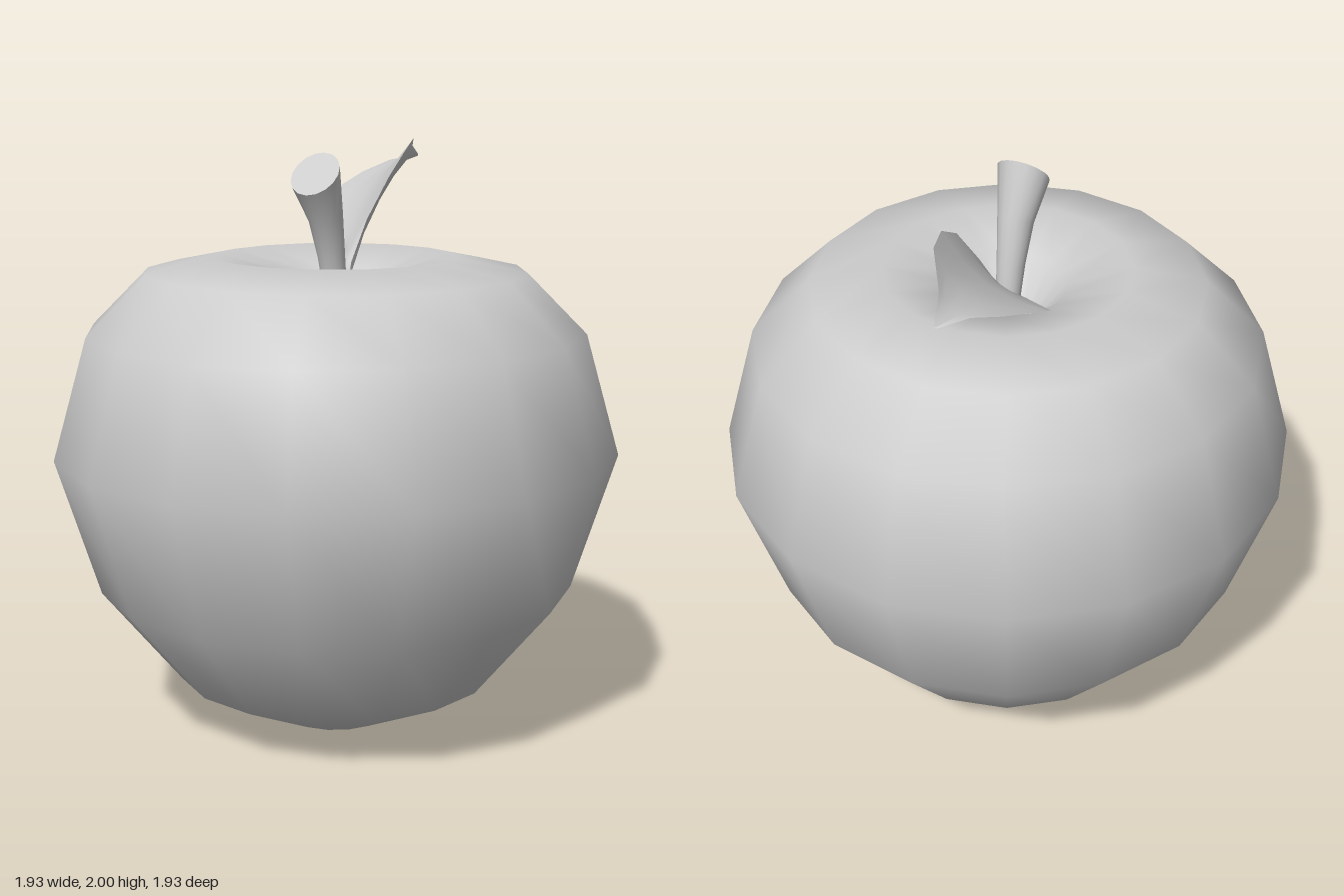
import * as THREE from 'three';
import { toCreasedNormals } from 'three/addons/utils/BufferGeometryUtils.js';

// Skin a list of rings (each counter-clockwise about the loft direction) and cap both ends
function loft(rings, crease) {
  const n = rings[0].length, index = [];
  const points = rings.flat();
  for (let i = 0; i < rings.length - 1; i++) {
    for (let j = 0; j < n; j++) {
      const a = i * n + j, b = i * n + (j + 1) % n;
      index.push(a, b, b + n, a, b + n, a + n);
    }
  }
  const last = (rings.length - 1) * n;
  for (let j = 1; j < n - 1; j++) {
    index.push(0, j + 1, j, last, last + j, last + j + 1);
  }
  const geometry = new THREE.BufferGeometry().setFromPoints(points);
  geometry.setIndex(index);
  return toCreasedNormals(geometry, crease);
}

export function createModel() {
  const group = new THREE.Group();
  const material = new THREE.MeshStandardMaterial({ color: 0xcccccc });
  const add = (name, geometry) => {
    const mesh = new THREE.Mesh(geometry, material);
    mesh.name = name;
    group.add(mesh);
  };

  // Fruit body with a dimple at the base and a deeper one at the top
  const profile = [
    [0, 0.06], [0.19, 0], [0.55, 0.17], [0.82, 0.5], [0.967, 0.97], [0.85, 1.38],
    [0.65, 1.58], [0.41, 1.63], [0.2, 1.57], [0.08, 1.42], [0, 1.38],
  ].map(([r, y]) => new THREE.Vector2(r, y));
  add('fruit', new THREE.LatheGeometry(profile, 16));

  // Stem that flares and leans forward to a slanted cut: y, z, radius, tilt
  const stemRings = [
    [1.36, -0.01, 0.04, 0], [1.5, 0.0, 0.04, 0.05], [1.63, 0.027, 0.047, 0.15],
    [1.77, 0.065, 0.06, 0.45], [1.91, 0.13, 0.088, 0.86],
  ].map(([y, z, r, tilt]) => Array.from({ length: 16 }, (_, i) => {
    const t = i / 16 * Math.PI * 2;
    return new THREE.Vector3(r * Math.sin(t), y - r * Math.cos(t) * Math.sin(tilt),
      z + r * Math.cos(t) * Math.cos(tilt));
  }));
  add('stem', loft(stemRings, 0.8));

  // Leaf: right and left rims, with depths of the cupped upper face and the belly
  const leafRings = [
    [[-0.02, 1.42, -0.02], [0.02, 1.42, -0.02], -0.015, 0.015],
    [[-0.03, 1.58, -0.09], [0.015, 1.6, -0.08], -0.015, 0.03],
    [[-0.135, 1.65, -0.18], [0.03, 1.74, -0.16], 0.02, 0.05],
    [[-0.275, 1.72, -0.32], [0.06, 1.88, -0.26], 0.04, 0.075],
    [[-0.305, 1.79, -0.43], [0.05, 1.96, -0.39], 0.045, 0.08],
    [[-0.25, 1.87, -0.62], [0, 2.0, -0.55], 0.035, 0.065],
    [[-0.19, 1.91, -0.72], [-0.09, 1.965, -0.71], 0.015, 0.035],
    [[-0.135, 1.922, -0.82], [-0.125, 1.928, -0.82], 0, 0.005],
  ].map(([l, r, cup, belly]) => {
    const left = new THREE.Vector3(...l), right = new THREE.Vector3(...r);
    const along = new THREE.Vector3(0, 0.5, -0.85);
    const down = right.clone().sub(left).cross(along).normalize().negate();
    const at = (t, depth) => left.clone().lerp(right, t).addScaledVector(down, depth);
    return [left, at(0.25, cup * 0.7), at(0.5, cup), at(0.75, cup * 0.7),
      right, at(0.75, belly * 0.75), at(0.5, belly), at(0.25, belly * 0.75)];
  });
  add('leaf', loft(leafRings, 1.2));

  return group;
}
